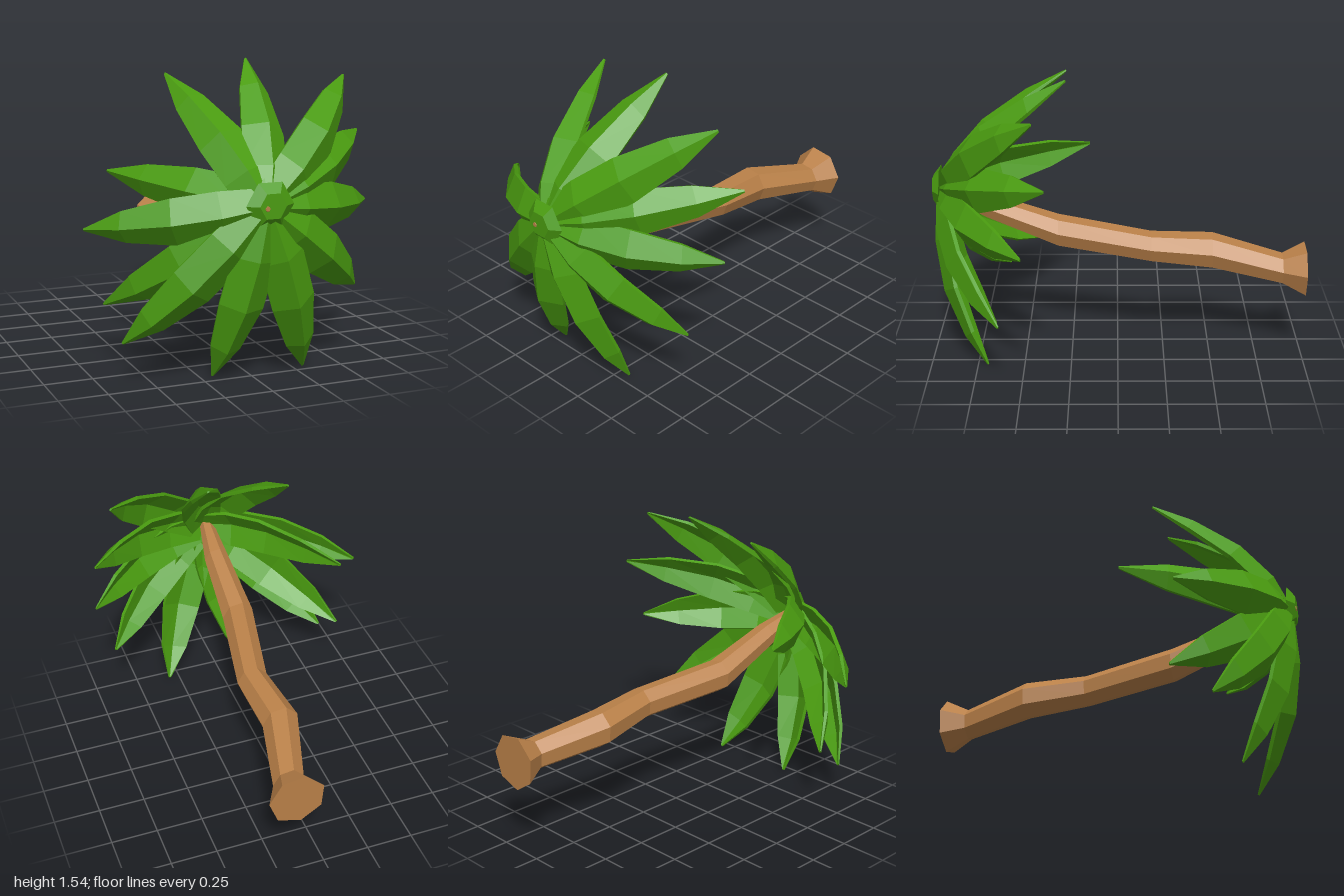
import * as THREE from 'three';

const leafGreen = new THREE.MeshStandardMaterial({ color: 0x4a9c10, flatShading: true });
leafGreen.name = 'leafGreen';
const barkBrown = new THREE.MeshStandardMaterial({ color: 0xb98048, flatShading: true });
barkBrown.name = 'barkBrown';

// Closed skin over a list of rings, each counter-clockwise about the direction of travel
function loft(rings) {
  const n = rings[0].length, last = (rings.length - 1) * n, index = [];
  for (let i = 0; i < rings.length - 1; i++) {
    for (let j = 0; j < n; j++) {
      const a = i * n + j, b = i * n + (j + 1) % n;
      index.push(a, b, b + n, a, b + n, a + n);
    }
  }
  for (let j = 1; j < n - 1; j++) {
    index.push(0, j + 1, j, last, last + j, last + j + 1);
  }
  const indexed = new THREE.BufferGeometry().setFromPoints(rings.flat());
  indexed.setIndex(index);
  const geometry = indexed.toNonIndexed();
  geometry.computeVertexNormals();
  return geometry;
}

function part(name, geometry, material) {
  const mesh = new THREE.Mesh(geometry, material);
  mesh.name = name;
  return mesh;
}

// Seven-sided crooked trunk: x, y, z and radius of each ring
function trunkGeometry() {
  const stations = [
    [0.155, 0.495, -1, 0.15], [0.155, 0.5, -0.88, 0.085], [0.058, 0.565, -0.51, 0.1],
    [0.092, 0.602, -0.18, 0.085], [-0.005, 0.658, 0.32, 0.09], [-0.01, 0.8, 0.7, 0.07],
    [-0.03, 0.89, 0.94, 0.04], [-0.03, 0.9, 0.99, 0.012],
  ];
  return loft(stations.map(([x, y, z, r]) => Array.from({ length: 7 }, (_, j) => {
    const a = Math.PI / 2 + (j + 0.35) * Math.PI * 2 / 7;
    return new THREE.Vector3(x + r * Math.cos(a), y + r * Math.sin(a), z);
  })));
}

// Folded leaf arching from the crown to its tip; the farther back the tip, the stronger the arch
const crown = new THREE.Vector3(-0.01, 0.9, 0.972);
function leafGeometry(x, y, z) {
  const tip = new THREE.Vector3(x, y, z);
  const bend = crown.clone().lerp(tip, 0.62);
  bend.z += 0.18 + 0.2 * (crown.z - z);
  const rib = new THREE.QuadraticBezierCurve3(crown, bend, tip);
  const angle = Math.atan2(y - crown.y, x - crown.x);
  const side = new THREE.Vector3(-Math.sin(angle), Math.cos(angle), 0);
  // Position along the rib and half-width
  const sections = [[0, 0.09], [0.25, 0.118], [0.52, 0.118], [0.8, 0.08], [1, 0.007]];
  return loft(sections.map(([t, w]) => {
    const p = rib.getPoint(t);
    const up = rib.getTangent(t).cross(side).normalize();
    const drop = w * 0.58, thick = Math.min(0.02, w);
    return [[0, 0], [-w, -drop], [-w * 0.95, -drop - thick], [0, -thick * 1.5],
      [w * 0.95, -drop - thick], [w, -drop]]
      .map(([s, u]) => p.clone().addScaledVector(side, s).addScaledVector(up, u));
  }));
}

export function createModel() {
  const model = new THREE.Group();
  model.name = 'palmTree';
  model.add(part('trunk', trunkGeometry(), barkBrown));

  // Leaf tips around the crown
  const tips = [
    [-0.28, 1.485, 0.28], [0.17, 1.545, 0.27], [0.66, 1.455, 0.42], [0.78, 1.155, 0.36],
    [0.77, 0.8, 0.48], [0.65, 0.38, 0.61], [0.31, 0.005, 0.7], [-0.19, 0.01, 0.7],
    [-0.64, 0.21, 0.64], [-0.67, 0.36, 0.44], [-0.785, 0.76, 0.49], [-0.555, 0.985, 0.16],
  ];
  const leaves = new THREE.Group();
  leaves.name = 'leaves';
  tips.forEach((tip, i) => leaves.add(part('leaf' + (i + 1), leafGeometry(...tip), leafGreen)));
  model.add(leaves);

  // Low bud where the leaves meet
  const bud = part('bud', new THREE.CylinderGeometry(0.07, 0.125, 0.04, 6), leafGreen);
  bud.rotation.set(Math.PI / 2, Math.PI / 6, 0);
  bud.position.set(0, 0.91, 0.967);
  model.add(bud);
  return model;
}
